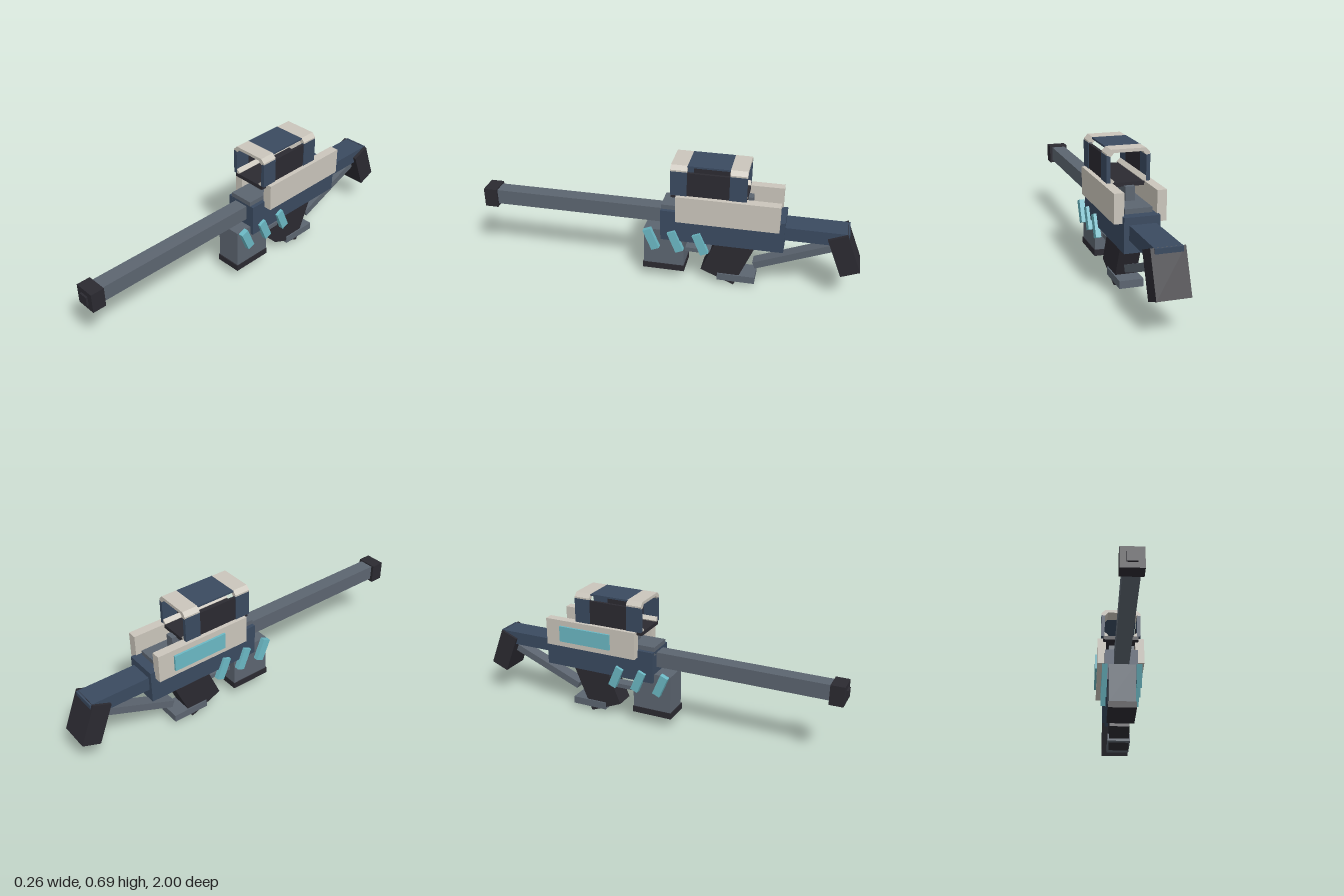
import * as THREE from 'three';

const flat = (name, color) => {
  const m = new THREE.MeshStandardMaterial({ color });
  m.name = name;
  return m;
};

export function createModel() {
  const group = new THREE.Group();
  const navy = flat('navy', 0x3a4a60);
  const slate = flat('slate', 0x5c6570);
  const dark = flat('charcoal', 0x2b2a31);
  const beige = flat('beige', 0xcac5bb);
  const teal = flat('teal', 0x6bb8c4);
  const MID = 0.004; // middle plane of the body

  const add = (name, geometry, material) => {
    const mesh = new THREE.Mesh(geometry, material);
    mesh.name = name;
    group.add(mesh);
    return mesh;
  };
  // Box given by its limits on each axis
  const box = (name, mat, [x0, x1], [y0, y1], [z0, z1]) => {
    const mesh = add(name, new THREE.BoxGeometry(x1 - x0, y1 - y0, z1 - z0), mat);
    mesh.position.set((x0 + x1) / 2, (y0 + y1) / 2, (z0 + z1) / 2);
    return mesh;
  };
  // Box given by size and centre, pitched about x
  const tilted = (name, mat, size, centre, angle) => {
    const mesh = add(name, new THREE.BoxGeometry(...size), mat);
    mesh.position.set(...centre);
    mesh.rotation.x = angle;
    return mesh;
  };
  // Outline in x/y, extruded from z0 to z1
  const prism = (name, mat, points, z0, z1) => {
    const shape = new THREE.Shape(points.map(([x, y]) => new THREE.Vector2(x, y)));
    const geo = new THREE.ExtrudeGeometry(shape, { depth: z1 - z0, bevelEnabled: false });
    add(name, geo, mat).position.set(MID, 0, z0);
  };

  // Barrel and muzzle
  box('barrel', slate, [-0.035, 0.043], [0.33, 0.41], [-0.02, 0.93]);
  box('muzzle', dark, [-0.05, 0.057], [0.315, 0.417], [0.92, 0.99]);
  box('muzzleTip', dark, [-0.02, 0.027], [0.342, 0.39], [0.98, 1.0]);

  // Receiver, top rail and stock
  box('receiver', navy, [-0.082, 0.09], [0.253, 0.422], [-0.61, 0.02]);
  box('topRail', slate, [-0.062, 0.07], [0.4, 0.446], [-0.56, 0.02]);
  box('stock', navy, [-0.062, 0.066], [0.315, 0.386], [-0.925, -0.6]);
  tilted('buttPlate', dark, [0.158, 0.218, 0.1], [MID, 0.267, -0.909], 0.38);
  tilted('stockStrut', slate, [0.065, 0.038, 0.47], [MID, 0.21, -0.68], 0.385);

  // Magazine, trigger bar, grip and foot
  box('magazine', slate, [-0.063, 0.072], [0.09, 0.297], [-0.1, 0.112]);
  box('magazineBase', dark, [-0.067, 0.076], [0.06, 0.093], [-0.103, 0.118]);
  box('triggerBar', slate, [-0.025, 0.033], [0.16, 0.183], [-0.26, -0.095]);
  tilted('grip', dark, [0.107, 0.3, 0.19], [MID, 0.177, -0.335], -0.4);
  box('gripFoot', slate, [-0.056, 0.064], [0.026, 0.065], [-0.473, -0.277]);

  // Side panels, with an inlay on the right one
  box('leftPanel', beige, [0.082, 0.13], [0.388, 0.53], [-0.585, -0.065]);
  box('rightPanel', beige, [-0.12, -0.074], [0.384, 0.53], [-0.585, -0.065]);
  box('panelInlay', teal, [-0.131, -0.119], [0.415, 0.5], [-0.5, -0.205]);

  // Slanted fins on both sides
  for (const side of [-1, 1]) {
    for (const z of [0.067, -0.06, -0.19]) {
      tilted('fin', teal, [0.027, 0.119, 0.043], [MID + side * 0.0885, 0.253, z], 0.4);
    }
  }

  // Sight: post, base, two capped rings and plates between them
  box('sightPost', slate, [-0.02, 0.027], [0.43, 0.515], [-0.44, -0.1]);
  box('sightBase', dark, [-0.09, 0.098], [0.51, 0.53], [-0.415, -0.035]);
  const cap = [
    [-0.105, 0.656], [-0.086, 0.654], [-0.07, 0.672], [0.07, 0.672], [0.086, 0.654],
    [0.105, 0.656], [0.105, 0.668], [0.085, 0.688], [-0.085, 0.688], [-0.105, 0.668],
  ];
  for (const [z0, z1] of [[-0.118, -0.035], [-0.415, -0.33]]) {
    prism('ringCap', beige, cap, z0, z1);
    for (const s of [-1, 1]) {
      const x = MID + s * 0.0965;
      box('ringPost', navy, [x - 0.0095, x + 0.0095], [0.53, 0.66], [z0, z1]);
    }
  }
  box('sightTop', navy, [-0.083, 0.091], [0.678, 0.687], [-0.332, -0.116]);
  for (const s of [-1, 1]) {
    const x = MID + s * 0.0945;
    box('sightSide', dark, [x - 0.0075, x + 0.0075], [0.53, 0.655], [-0.332, -0.116]);
    // Sloped lower corner strip
    const strip = [[0.088, 0.53], [0.088, 0.555], [0.067, 0.537], [0.073, 0.529]];
    prism('cornerStrip', beige, strip.map(([px, py]) => [s * px, py]), -0.414, -0.036);
  }

  return group;
}
